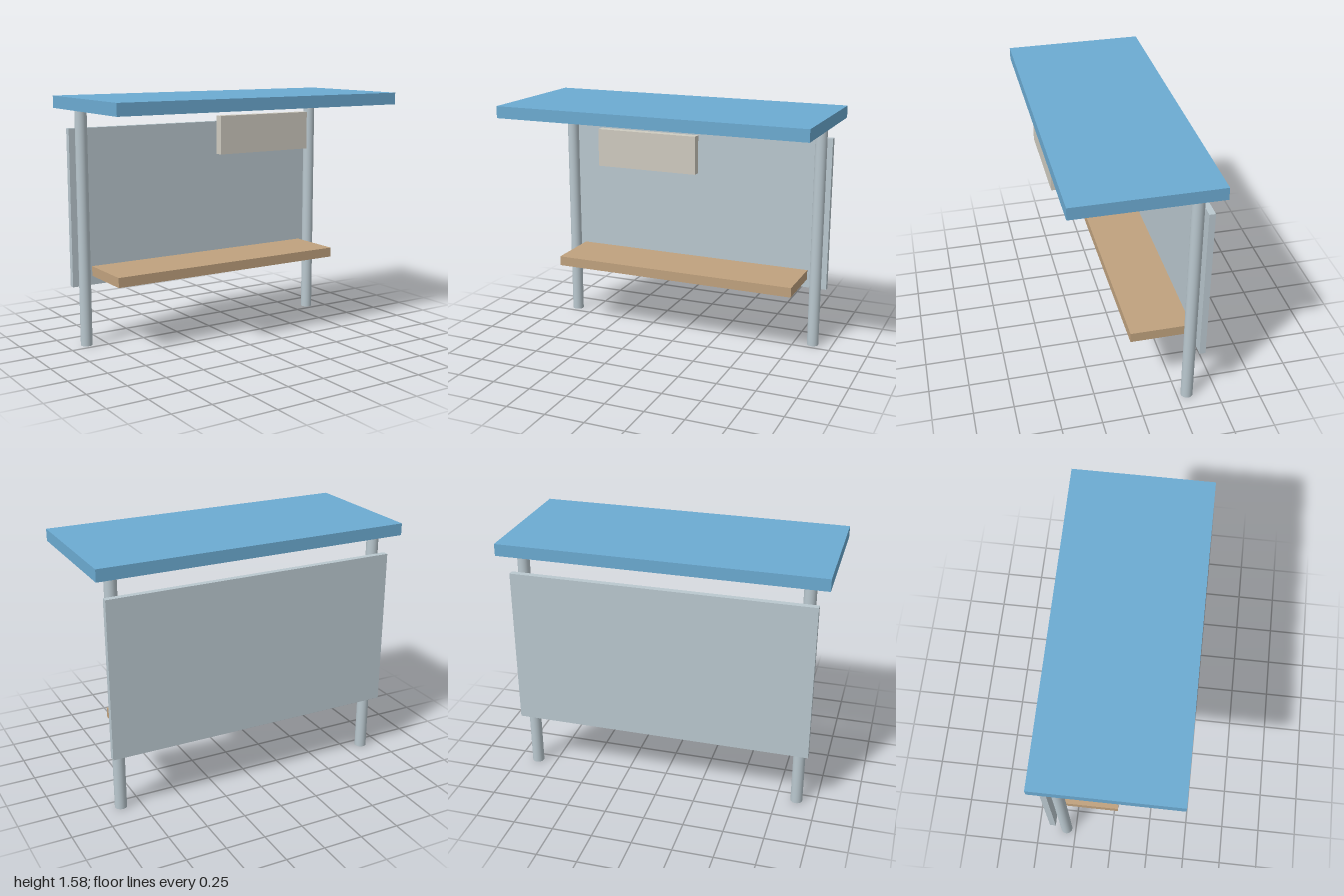
import * as THREE from 'three';

const material = (name, color) => {
  const m = new THREE.MeshStandardMaterial({ color });
  m.name = name;
  return m;
};

export function createModel() {
  const shelter = new THREE.Group();
  shelter.name = 'shelter';

  const blue = material('roof blue', 0x6cabd2);
  const grey = material('pale grey', 0xbac8cf);
  const wood = material('bench wood', 0xc0a27e);
  const cream = material('sign cream', 0xcfcbc0);

  const add = (name, geometry, mat, x, y, z) => {
    const mesh = new THREE.Mesh(geometry, mat);
    mesh.name = name;
    mesh.position.set(x, y, z);
    shelter.add(mesh);
  };
  const box = (name, mat, [w, h, d], [x, y, z]) =>
    add(name, new THREE.BoxGeometry(w, h, d), mat, x, y, z);

  // Flat roof slab
  box('roof', blue, [2, 0.075, 0.875], [0, 1.5375, 0]);

  // Back panel behind the posts
  box('backPanel', grey, [1.875, 1, 0.0375], [0, 0.875, -0.375]);

  // Bench seat between the posts
  box('benchSeat', wood, [1.625, 0.0625, 0.375], [0, 0.469, -0.15]);

  // Blank sign board under the front edge of the roof
  box('signBoard', cream, [0.625, 0.225, 0.05], [0, 1.3625, 0.375]);

  // Round posts carrying the roof
  for (const [name, side] of [['leftPost', 1], ['rightPost', -1]]) {
    add(name, new THREE.CylinderGeometry(0.0375, 0.0375, 1.5, 24), grey, side * 0.875, 0.75, -0.3125);
  }

  return shelter;
}
